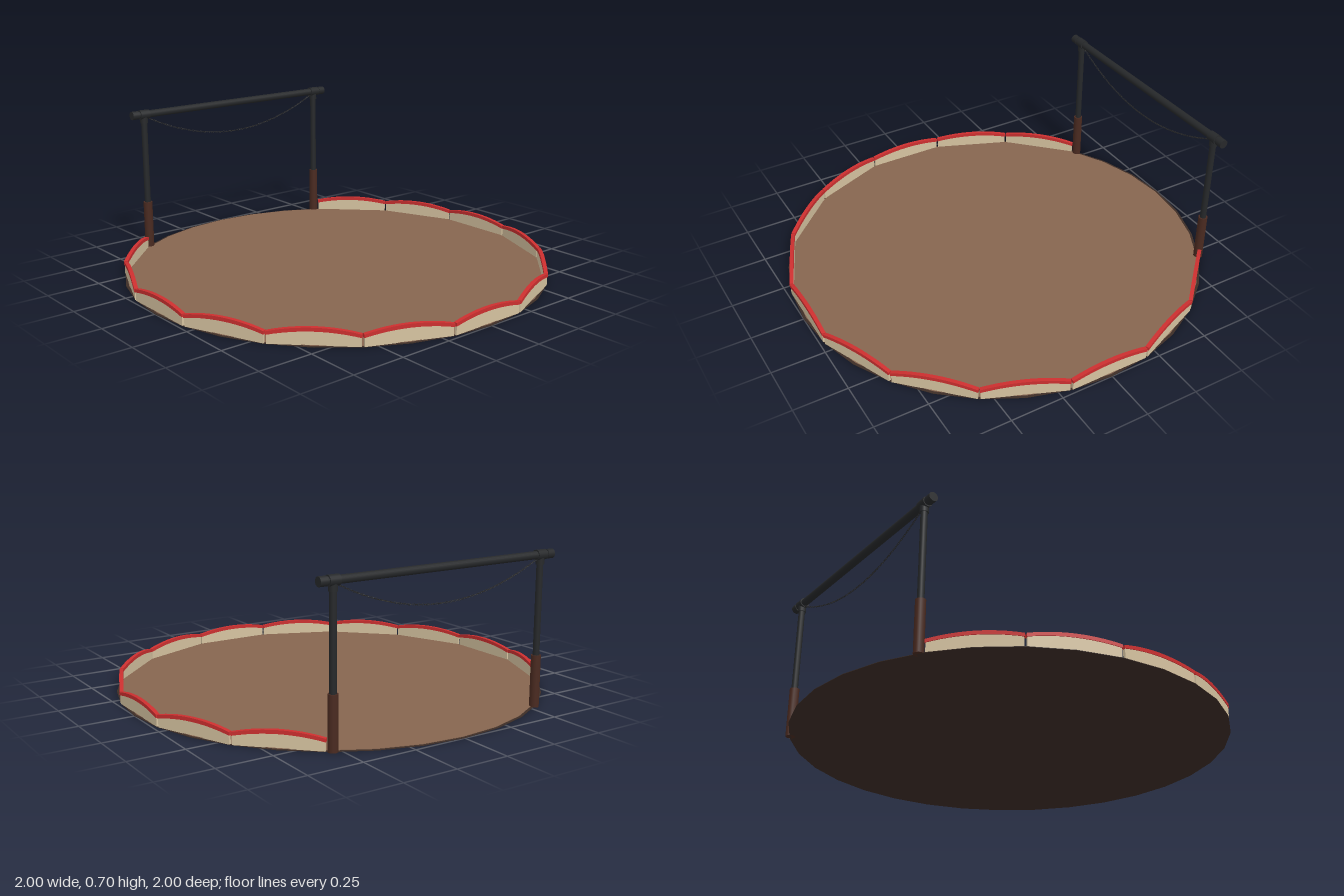
import * as THREE from 'three';

const mat = (color, flatShading = false) => new THREE.MeshStandardMaterial({ color, flatShading });
const floorMat = mat(0x86654f);
const baseMat = mat(0x3d2d26);
const clothMat = mat(0xd6c3a0);
const redMat = mat(0xcc2f2f);
const ironMat = mat(0x26282a);
const woodMat = mat(0x4a2a20);
const chainMat = mat(0x2a2a2a);

function add(parent, name, geometry, material, x = 0, y = 0, z = 0) {
  const mesh = new THREE.Mesh(geometry, material);
  mesh.name = name;
  mesh.position.set(x, y, z);
  parent.add(mesh);
  return mesh;
}

// Arched outline between two heights; "bottom" null gives a flat foot at the ground
function archShape(half, topEnd, topCtrl, botEnd, botCtrl) {
  const s = new THREE.Shape();
  s.moveTo(-half, botEnd);
  s.quadraticCurveTo(0, botCtrl, half, botEnd);
  s.lineTo(half, topEnd);
  s.quadraticCurveTo(0, topCtrl, -half, topEnd);
  s.closePath();
  return s;
}

function extrude(shape, depth) {
  const g = new THREE.ExtrudeGeometry(shape, { depth, bevelEnabled: false, curveSegments: 12 });
  return g.translate(0, 0, -depth / 2);
}

export function createModel() {
  const model = new THREE.Group();
  model.name = 'arena';

  // Ground disc with a dark rim and underside
  add(model, 'groundBase', new THREE.CylinderGeometry(1, 1, 0.002, 32), baseMat, 0, 0.001, 0);
  add(model, 'floor', new THREE.CylinderGeometry(0.988, 0.988, 0.002, 32), floorMat, 0, 0.003, 0);

  // Ring of thirteen arched barrier panels, open on the gate side
  const clothGeo = extrude(archShape(0.189, 0.045, 0.083, 0.002, 0.002), 0.012);
  const trimGeo = extrude(archShape(0.192, 0.056, 0.1, 0.041, 0.082), 0.018);
  for (let k = -6; k <= 6; k++) {
    const panel = new THREE.Group();
    panel.name = 'barrierPanel';
    panel.rotation.y = Math.PI / 2 + (k * Math.PI) / 8;
    add(panel, 'panelBoard', clothGeo, clothMat, 0, 0, 0.977);
    add(panel, 'panelTrim', trimGeo, redMat, 0, 0, 0.977);
    model.add(panel);
  }

  // Gate: two posts, a crossbar and a hanging chain
  const gate = new THREE.Group();
  gate.name = 'gate';
  gate.position.x = -0.84;
  model.add(gate);

  const rod = (name, r, length, z) => {
    add(gate, name, new THREE.CylinderGeometry(r, r, length, 16), ironMat, 0, 0.68, z).rotation.x = Math.PI / 2;
  };
  rod('crossbar', 0.018, 1.18, 0);
  for (const side of [-1, 1]) {
    const z = side * 0.533;
    add(gate, 'postSleeve', new THREE.CylinderGeometry(0.022, 0.022, 0.235, 12), woodMat, 0, 0.1175, z);
    add(gate, 'post', new THREE.CylinderGeometry(0.015, 0.015, 0.46, 12), ironMat, 0, 0.45, z);
    add(gate, 'postCollar', new THREE.CylinderGeometry(0.019, 0.019, 0.035, 12), ironMat, 0, 0.655, z);
    rod('crossbarJoint', 0.023, 0.05, z);
    rod('crossbarCap', 0.021, 0.035, side * 0.583);
  }

  // Chain links, alternately turned, along a sagging curve
  const sag = new THREE.CatmullRomCurve3(
    Array.from({ length: 17 }, (_, i) => {
      const t = i / 8 - 1;
      return new THREE.Vector3(0, 0.53 + 0.13 * t * t, t * 0.51);
    })
  );
  const links = 90;
  const linkGeo = new THREE.TorusGeometry(0.0035, 0.0011, 5, 10).scale(2.1, 1, 1);
  const chain = new THREE.Group();
  chain.name = 'chain';
  gate.add(chain);
  const xAxis = new THREE.Vector3(1, 0, 0);
  for (let i = 0; i < links; i++) {
    const u = (i + 0.5) / links;
    const link = add(chain, 'chainLink', linkGeo, chainMat);
    link.position.copy(sag.getPointAt(u));
    link.quaternion.setFromUnitVectors(xAxis, sag.getTangentAt(u));
    link.rotateX((i % 2) * Math.PI / 2);
  }

  return model;
}
